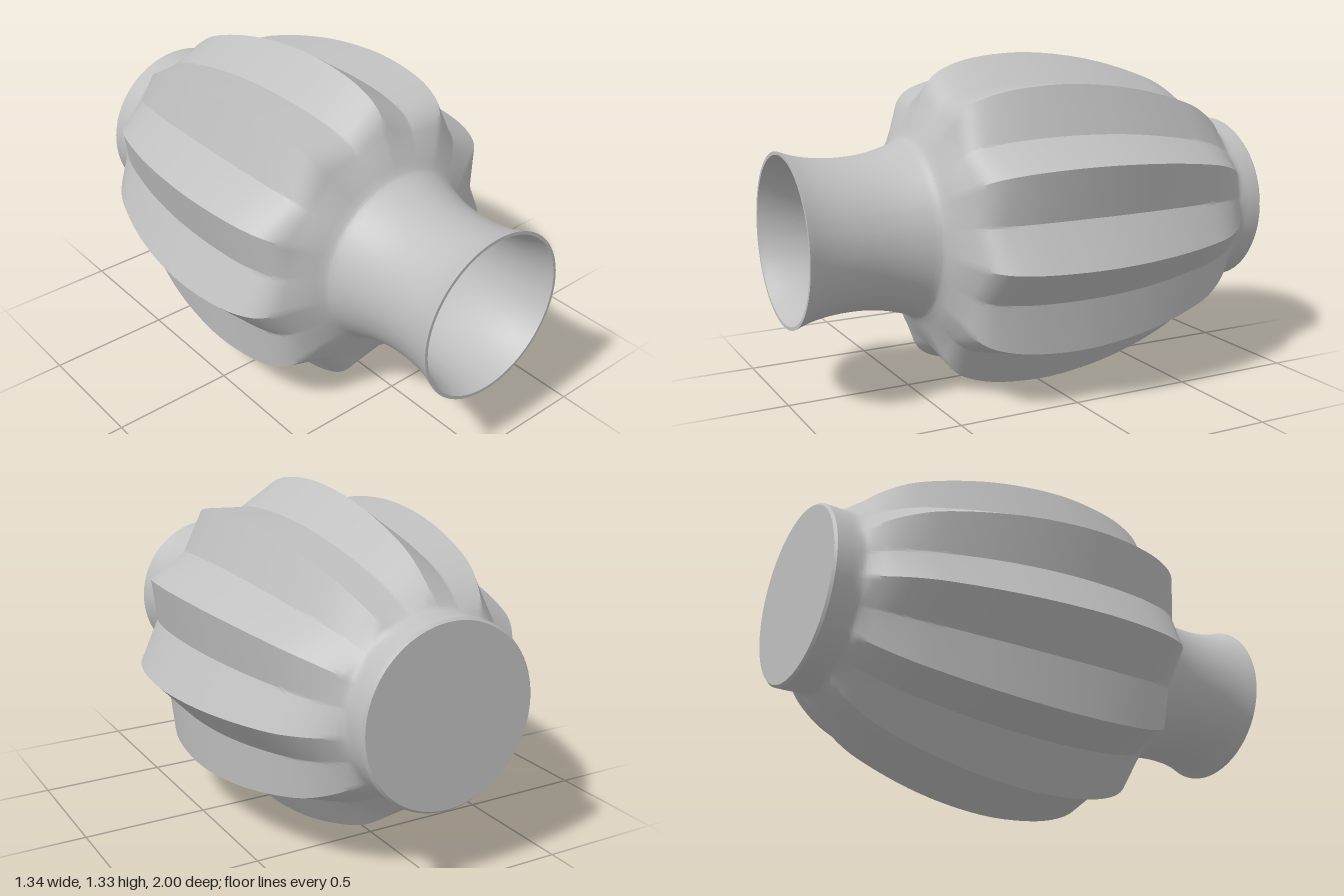
import * as THREE from 'three';
import { mergeVertices, toCreasedNormals } from 'three/addons/utils/BufferGeometryUtils.js';

const POINTS = 11;
const TURN = Math.PI / 2 + 0.016;   // angle of the uppermost rib
const AXIS_Y = 0.65;
const WALL = 0.013;
const STEPS = [0, 0.12, 0.35, 0.6, 0.8, 0.92, 0.97, 1]; // columns from rib tip to valley

// Profile along the axis: z, radius at rib tip, radius at valley
const PROFILE = [
  [-0.99, 0.355, 0.355], [-0.95, 0.355, 0.355], [-0.905, 0.355, 0.355], [-0.885, 0.364, 0.357],
  [-0.86, 0.395, 0.37], [-0.8, 0.452, 0.41], [-0.7, 0.52, 0.457], [-0.6, 0.563, 0.489],
  [-0.4, 0.624, 0.538], [-0.2, 0.661, 0.568], [0, 0.675, 0.578], [0.2, 0.658, 0.568],
  [0.3, 0.631, 0.549], [0.36, 0.6, 0.53], [0.4, 0.557, 0.502], [0.43, 0.49, 0.462],
  [0.46, 0.423, 0.412], [0.485, 0.37, 0.369], [0.5, 0.352, 0.352], [0.55, 0.332, 0.332],
  [0.65, 0.307, 0.307], [0.75, 0.298, 0.298], [0.86, 0.303, 0.303], [0.94, 0.318, 0.318],
  [1, 0.338, 0.338],
];

// Star cross-section with straight flanks, fading to a circle where there are no ribs
function radiusAt(tip, valley, s) {
  const half = Math.PI / POINTS, a = s * half;
  const straight = tip * valley * Math.sin(half) /
    (tip * Math.sin(a) + valley * Math.sin(half - a));
  const ribbed = Math.min(1, Math.max(0, (tip - valley) / 0.03));
  const round = tip + (valley - tip) * s;
  return round + (straight - round) * ribbed;
}

// Skin of the vessel through the given profile rows
function skin(rows, inset, inward) {
  const columns = [];
  for (let k = 0; k < POINTS; k++) {
    const base = TURN + k * 2 * Math.PI / POINTS;
    for (const s of STEPS) columns.push([base + s * Math.PI / POINTS, s]);
    for (const s of STEPS.slice(1, -1).reverse()) {
      columns.push([base + (2 - s) * Math.PI / POINTS, s]);
    }
  }
  const n = columns.length, pos = [], index = [];
  rows.forEach(({ x: z, y: tip, z: valley }, i) => {
    columns.forEach(([angle, s], j) => {
      const r = radiusAt(tip, valley, s) - inset;
      pos.push(r * Math.cos(angle), r * Math.sin(angle), z);
      if (i === rows.length - 1) return;
      const a = i * n + j, b = i * n + (j + 1) % n, c = b + n, d = a + n;
      if (inward) index.push(a, c, b, a, d, c);
      else index.push(a, b, c, a, c, d);
    });
  });
  const g = new THREE.BufferGeometry();
  g.setAttribute('position', new THREE.Float32BufferAttribute(pos, 3));
  g.setIndex(index);
  return toCreasedNormals(mergeVertices(g), 0.6);
}

export function createModel() {
  const model = new THREE.Group();
  model.name = 'ribbedVase';
  const clay = new THREE.MeshStandardMaterial({ color: 0xc0c0c0 });
  clay.name = 'grey clay';

  const add = (name, geometry, z = 0) => {
    const mesh = new THREE.Mesh(geometry, clay);
    mesh.name = name;
    mesh.position.set(0, AXIS_Y, z);
    model.add(mesh);
    return mesh;
  };

  const curve = new THREE.CatmullRomCurve3(PROFILE.map((p) => new THREE.Vector3(...p)));
  const rows = curve.getPoints((PROFILE.length - 1) * 4);

  // Ribbed body with neck and foot, outside and inside
  add('outerWall', skin(rows, 0, false));
  add('innerWall', skin(rows, WALL, true));

  // Lip closing the wall at the mouth
  add('lip', new THREE.RingGeometry(0.338 - WALL, 0.338, 154), 1);

  // Softened foot edge, flat base and inner floor
  const bevel = new THREE.CylinderGeometry(0.355, 0.346, 0.01, 154, 1, true);
  add('footEdge', bevel.rotateX(Math.PI / 2), -0.995);
  add('base', new THREE.CircleGeometry(0.346, 154).rotateY(Math.PI), -1);
  add('innerFloor', new THREE.CircleGeometry(0.35, 154), -0.98);
  return model;
}
